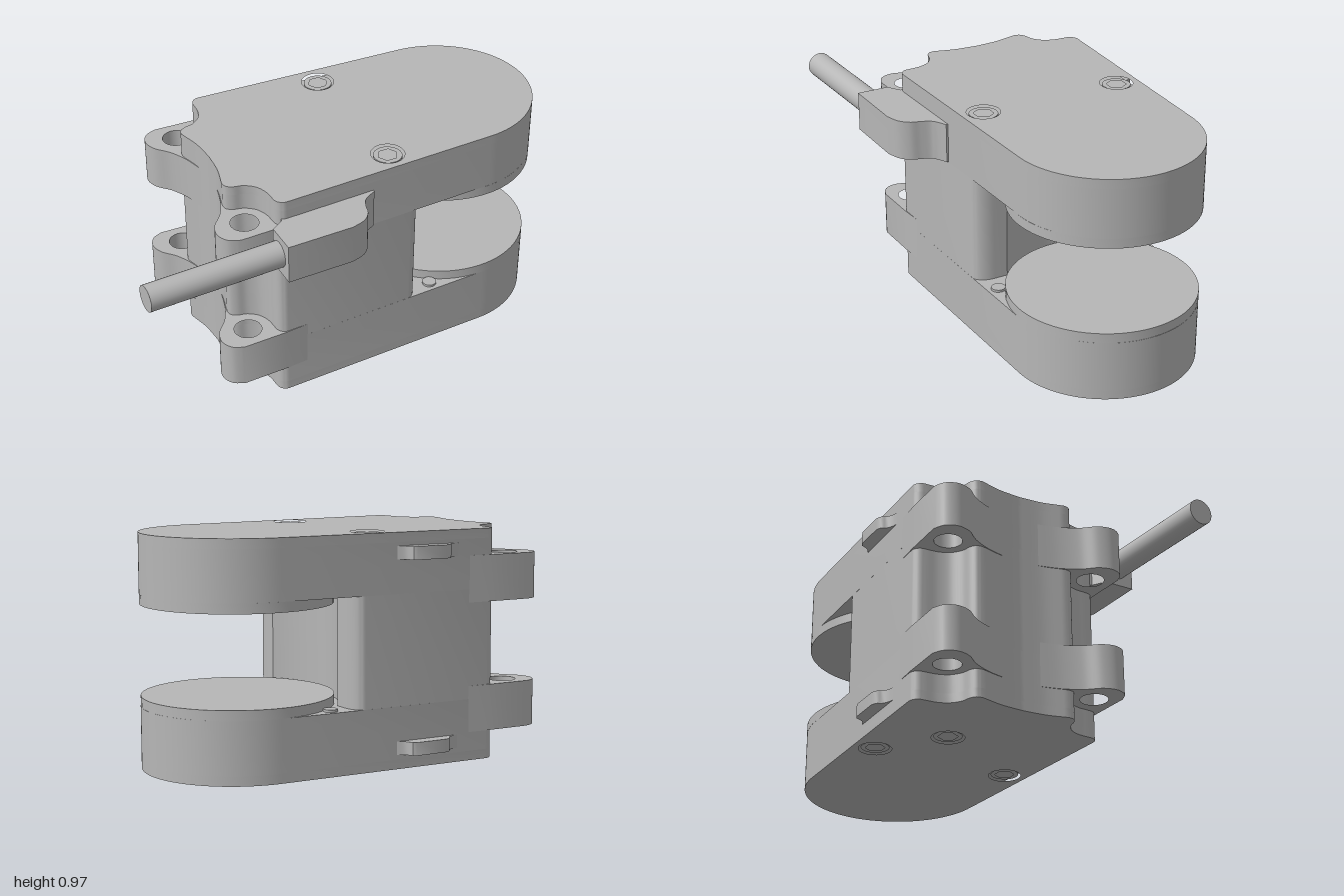
import * as THREE from 'three';
import { toCreasedNormals } from 'three/addons/utils/BufferGeometryUtils.js';

const grey = new THREE.MeshStandardMaterial({ color: 0xb6b6b6 });
grey.name = 'plain grey';

const MID = -0.067; // z of the symmetry plane; plan points are [x, w] with w = z - MID

const arc = (cx, cw, rx, rw, from, to, n) =>
  Array.from({ length: n + 1 }, (_, i) => {
    const a = THREE.MathUtils.degToRad(from + ((to - from) * i) / n);
    return [cx + rx * Math.cos(a), cw + rw * Math.sin(a)];
  });

const smooth = (points, n = 24) =>
  new THREE.SplineCurve(points.map(p => new THREE.Vector2(...p))).getPoints(n).map(p => [p.x, p.y]);

// completes a half plan that starts and ends on the symmetry line
const mirrored = half => half.concat(half.slice(1, -1).reverse().map(([x, w]) => [x, -w]));
const flip = points => points.map(([x, w]) => [x, -w]);
const circle = (x, w, r, n = 32) => arc(x, w, r, r, 0, 360, n).slice(0, n);

export function createModel() {
  const model = new THREE.Group();
  const body = new THREE.Group();
  body.name = 'clampBody';
  body.position.z = MID;
  model.add(body);

  const add = (name, geometry) => {
    const mesh = new THREE.Mesh(geometry, grey);
    mesh.name = name;
    body.add(mesh);
    return mesh;
  };

  // horizontal slab between two heights, cut by the given holes
  const slab = (name, y0, y1, outline, holes = []) => {
    const vec = pts => pts.map(([x, w]) => new THREE.Vector2(x, -w));
    const shape = new THREE.Shape(vec(outline));
    holes.forEach(h => shape.holes.push(new THREE.Path(vec(h))));
    const geo = new THREE.ExtrudeGeometry(shape, { depth: y1 - y0, bevelEnabled: false });
    geo.rotateX(-Math.PI / 2);
    geo.translate(0, y0, 0);
    return add(name, toCreasedNormals(geo, 0.6));
  };

  // rear half plan: rounded corner, lug notch, pointed tip and concave back
  const rear = [
    ...arc(-0.345, 0.392, 0.04, 0.04, 90, 180, 8),
    ...smooth([[-0.386, 0.37], [-0.39, 0.33], [-0.41, 0.285], [-0.45, 0.253], [-0.49, 0.243], [-0.515, 0.225], [-0.52, 0.2]]),
    ...smooth([[-0.515, 0.18], [-0.495, 0.1], [-0.487, 0]], 12),
  ];
  const plate = mirrored([...arc(0.6, 0, 0.397, 0.395, 0, 88, 32), ...rear]);
  const core = mirrored([
    ...arc(0.6, 0, 0.415, 0.415, 180, 139.4, 12),
    ...arc(0.235, 0.33, 0.05, 0.079, 0, 90, 10),
    ...rear,
  ]);

  // screw positions in the two outer covers
  const pair = [[0.17, -0.315], [0.17, 0.315]];
  const topScrews = pair;
  const bottomScrews = [...pair, [-0.09, -0.113]];
  const wells = list => list.map(([x, w]) => circle(x, w, 0.07));

  // stacked body
  slab('bottomCover', 0, 0.04, plate, wells(bottomScrews));
  slab('lowerArm', 0.04, 0.26, plate);
  slab('core', 0.26, 0.72, core);
  slab('upperArm', 0.72, 0.93, plate);
  slab('topCover', 0.93, 0.97, plate, wells(topScrews));

  // facing jaw discs
  const disc = circle(0.6, 0, 0.396, 72);
  slab('lowerJawDisc', 0.26, 0.302, disc);
  slab('upperJawDisc', 0.678, 0.72, disc);

  // recessed screw heads with hexagonal sockets
  const screw = (x, w, y0, y1) => slab('screwHead', y0, y1, circle(x, w, 0.06), [circle(x, w, 0.042, 6)]);
  topScrews.forEach(([x, w]) => screw(x, w, 0.93, 0.965));
  bottomScrews.forEach(([x, w]) => screw(x, w, 0.005, 0.04));

  // four mounting lugs with bolt holes
  const lug = [
    [-0.25, 0.428], [-0.36, 0.437],
    ...smooth([[-0.55, 0.443], [-0.597, 0.42], [-0.62, 0.37], [-0.605, 0.31], [-0.555, 0.25], [-0.516, 0.17], [-0.492, 0.08]], 32),
    [-0.4, 0.08], [-0.25, 0.2],
  ];
  const boltHole = circle(-0.49, 0.343, 0.058);
  for (const y of [0.12, 0.665]) {
    slab('mountingLug', y, y + 0.195, lug, [boltHole]);
    slab('mountingLug', y, y + 0.195, flip(lug), [flip(boltHole)]);
  }

  // small tabs on the back wall
  const tab = [
    [-0.21, -0.40], [-0.21, -0.425],
    ...smooth([[-0.18, -0.43], [-0.15, -0.445], [-0.135, -0.468], [-0.11, -0.478]], 8),
    [0.03, -0.474],
    ...smooth([[0.045, -0.465], [0.06, -0.435], [0.09, -0.415]], 8),
    [0.09, -0.40],
  ];
  for (const y of [0.06, 0.86]) slab('backTab', y, y + 0.055, tab);

  // studs in the corners beside the lower disc
  for (const w of [-0.358, 0.358]) slab('cornerStud', 0.26, 0.27, circle(0.37, w, 0.03, 16));

  // cable housing on the front wall
  slab('cableHousing', 0.72, 0.89, [
    [-0.36, 0.36], [-0.37, 0.435], [-0.425, 0.47], [-0.425, 0.607],
    ...smooth([[-0.14, 0.602], [-0.08, 0.582], [-0.043, 0.545], [-0.028, 0.5], [-0.005, 0.457], [0.05, 0.425]]),
    [0.05, 0.36],
  ]);

  // cable
  const from = new THREE.Vector3(-0.998, 0.805, 0.547);
  const to = new THREE.Vector3(-0.4, 0.805, 0.523);
  const dir = to.clone().sub(from);
  const cable = add('cable', new THREE.CylinderGeometry(0.055, 0.055, dir.length(), 32));
  cable.position.copy(from).add(to).multiplyScalar(0.5);
  cable.quaternion.setFromUnitVectors(new THREE.Vector3(0, 1, 0), dir.normalize());

  return model;
}
